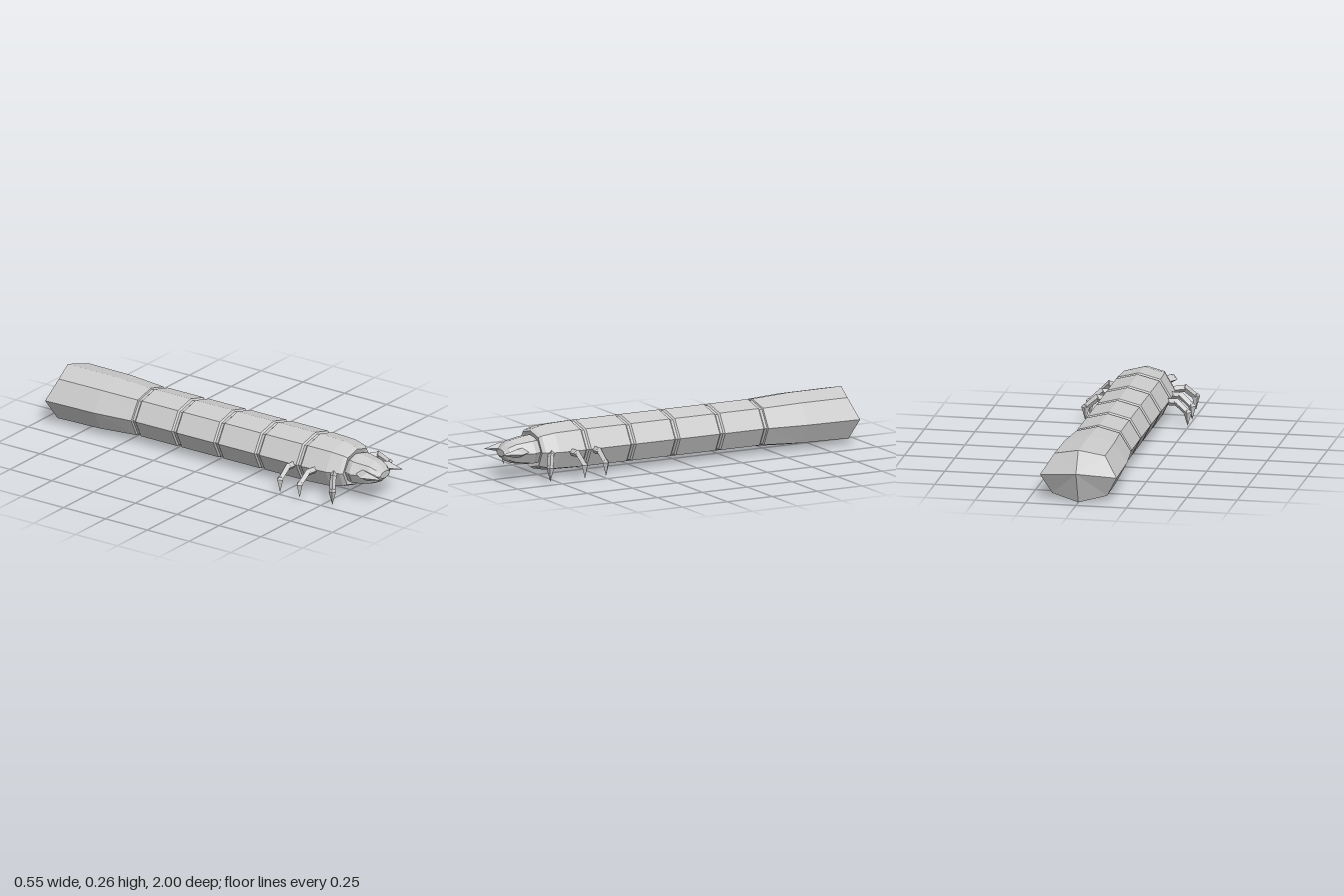
import * as THREE from 'three';

const material = new THREE.MeshStandardMaterial({ color: 0xcccccc, flatShading: true, side: THREE.DoubleSide });

// Skin a list of closed rings, closing both ends with fans to a point.
function loft(name, rings, startTip, endTip) {
  const pos = [];
  const tri = (...pts) => pts.forEach((p) => pos.push(p.x, p.y, p.z));
  const centre = (r) => r.reduce((s, p) => s.add(p), new THREE.Vector3()).divideScalar(r.length);
  const n = rings[0].length;
  const last = rings[rings.length - 1];
  const start = startTip || centre(rings[0]);
  const end = endTip || centre(last);
  for (let i = 0; i < n; i++) {
    const j = (i + 1) % n;
    tri(start, rings[0][j], rings[0][i]);
    for (let k = 0; k + 1 < rings.length; k++) {
      const a = rings[k], b = rings[k + 1];
      tri(a[i], a[j], b[j]);
      tri(a[i], b[j], b[i]);
    }
    tri(last[i], last[j], end);
  }
  const geometry = new THREE.BufferGeometry();
  geometry.setAttribute('position', new THREE.Float32BufferAttribute(pos, 3));
  geometry.computeVertexNormals();
  const mesh = new THREE.Mesh(geometry, material);
  mesh.name = name;
  return mesh;
}

// Eight-sided body section; diagonal corners can be shifted along z.
const OCTAGON = [[1, 0], [0.66, 0.77], [0, 1], [-0.66, 0.77], [-1, 0], [-0.72, -0.76], [0, -1], [0.72, -0.76]];
function section([z, w, bottom, top, cornerShift = 0]) {
  const mid = (top + bottom) / 2, h = (top - bottom) / 2;
  return OCTAGON.map(([x, y], i) => new THREE.Vector3(x * w, mid + y * h, z + (i % 2) * cornerShift));
}

// Diamond-section limb along a path of [x, y, z, radius across, radius along z].
function limb(name, path, tip) {
  const pts = path.map((p) => new THREE.Vector3(p[0], p[1], p[2]));
  const rings = path.map(([, , , r, rz], i) => {
    const dir = pts[Math.min(i + 1, pts.length - 1)].clone().sub(pts[Math.max(i - 1, 0)]).normalize();
    const across = new THREE.Vector3(0, 0, 1).cross(dir).normalize();
    const along = dir.clone().cross(across);
    return [0, 1, 2, 3].map((k) => pts[i].clone()
      .addScaledVector(across, r * Math.cos(k * Math.PI / 2))
      .addScaledVector(along, rz * Math.sin(k * Math.PI / 2)));
  });
  return loft(name, rings, null, tip && new THREE.Vector3(...tip));
}

// One leg, pointing out along +x from its root at the origin.
function makeLeg() {
  const leg = new THREE.Group();
  leg.add(limb('upperLeg', [[-0.02, 0, 0, 0.017, 0.015], [0.07, 0, 0, 0.018, 0.016]]));
  leg.add(limb('lowerLeg', [[0.058, 0.008, 0, 0.018, 0.016], [0.122, -0.048, 0, 0.016, 0.014]]));
  leg.add(limb('claw', [[0.12, -0.034, 0, 0.012, 0.012], [0.122, -0.047, 0, 0.021, 0.018]], [0.122, -0.115, 0]));
  return leg;
}

export function createModel() {
  const model = new THREE.Group();
  model.name = 'larva';

  // Tail, grooved body segments and tapered thorax in one skin
  const profile = [
    [-0.94, 0.19, 0.003, 0.265, 0.035],
    [-0.65, 0.185, 0.007, 0.264],
    [-0.445, 0.163, 0.018, 0.254],
  ];
  for (const z of [-0.435, -0.19, 0.06, 0.305, 0.555]) {
    if (z > -0.4) profile.push([z - 0.015, 0.162, 0.018, 0.255]);
    profile.push([z - 0.007, 0.154, 0.025, 0.247], [z + 0.007, 0.154, 0.025, 0.247]);
    profile.push([z + 0.015, 0.162, 0.018, 0.255]);
  }
  profile.push(
    [0.71, 0.152, 0.022, 0.25],
    [0.775, 0.132, 0.036, 0.236],
    [0.79, 0.118, 0.045, 0.225],
    [0.782, 0.09, 0.065, 0.2],
  );
  model.add(loft('body', profile.map(section), new THREE.Vector3(0, 0.16, -1)));

  // Head, sloping to a low brow
  model.add(loft('head', [
    [0.76, 0.085, 0.07, 0.19],
    [0.795, 0.096, 0.062, 0.206],
    [0.815, 0.106, 0.062, 0.204],
    [0.9, 0.082, 0.075, 0.19],
    [0.935, 0.066, 0.092, 0.17],
    [0.957, 0.04, 0.115, 0.15],
  ].map(section)));

  for (const side of [1, -1]) {
    const word = side > 0 ? 'left' : 'right';
    // Pincer curving out and then forward to a point
    const pincer = limb(word + 'Pincer', [
      [0.065, 0.14, 0.86, 0.02, 0.03],
      [0.09, 0.14, 0.915, 0.022, 0.04],
    ], [0.088, 0.14, 1]);
    const holder = new THREE.Group();
    holder.name = word + 'Side';
    holder.add(pincer);
    // Three legs: z of the root and swing towards the front
    [['frontLeg', 0.745, 0.56], ['middleLeg', 0.645, -0.15], ['hindLeg', 0.52, -0.08]].forEach(([name, z, swing]) => {
      const leg = makeLeg();
      leg.name = word + name[0].toUpperCase() + name.slice(1);
      leg.position.set(0.132, 0.131, z);
      leg.rotation.y = -swing;
      holder.add(leg);
    });
    holder.scale.x = side;
    model.add(holder);
  }
  return model;
}
